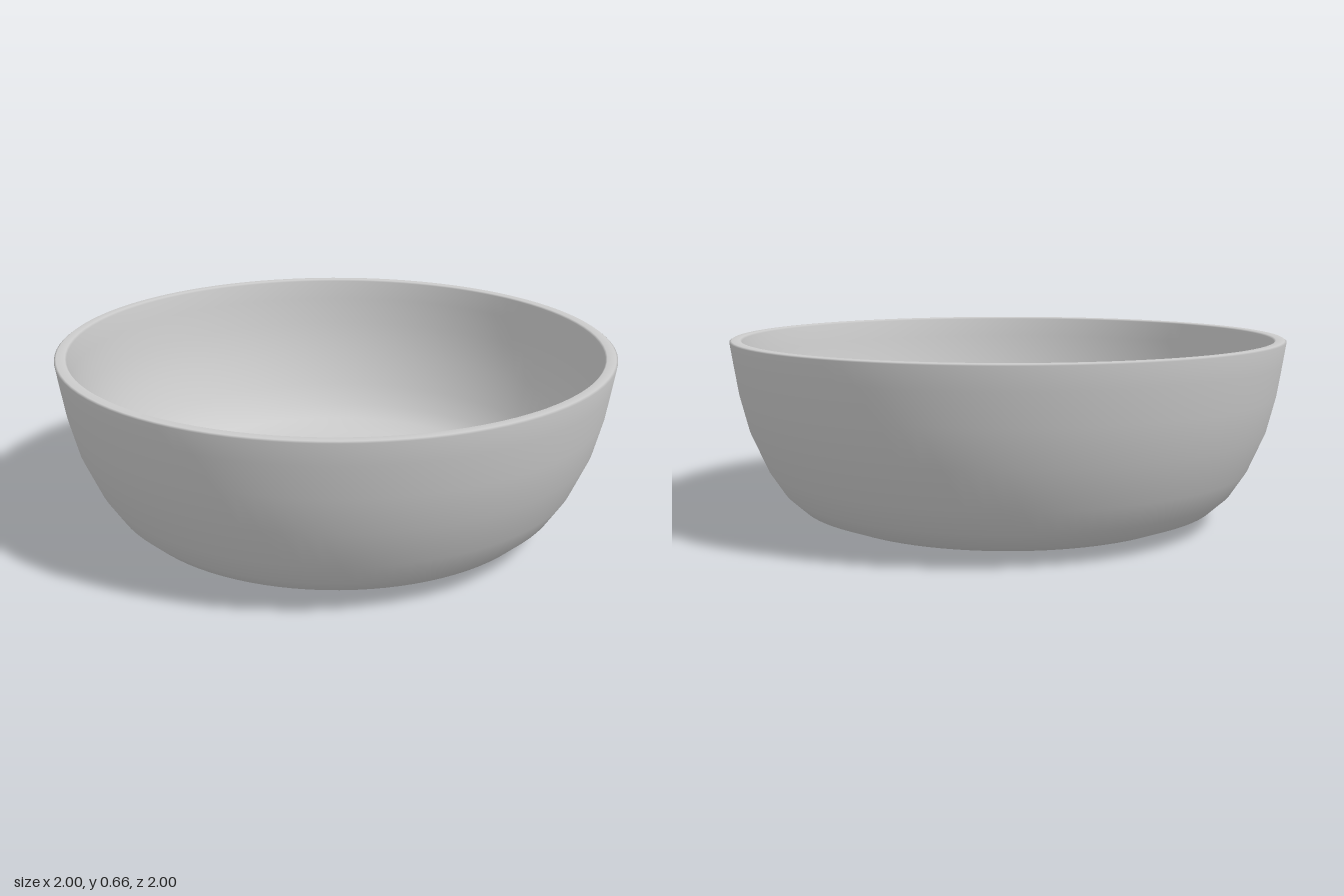
import * as THREE from 'three';

export function createModel() {
  const group = new THREE.Group();

  // Closed wall section: underside, outer wall, rim, inner wall, floor
  const outer = [
    [0, 0], [0.26, 0.001], [0.51, 0.005], [0.67, 0.023], [0.765, 0.06], [0.825, 0.115],
    [0.88, 0.2], [0.94, 0.34], [0.972, 0.47], [0.989, 0.58], [1, 0.656],
  ];
  const rim = [[0.993, 0.661], [0.963, 0.661]];
  const inner = [
    [0.957, 0.655], [0.947, 0.58], [0.931, 0.475], [0.9, 0.35], [0.843, 0.22], [0.793, 0.143],
    [0.742, 0.096], [0.66, 0.064], [0.505, 0.046], [0.26, 0.042], [0, 0.041],
  ];
  const profile = [...outer, ...rim, ...inner].map(([r, y]) => new THREE.Vector2(r, y));

  const bowl = new THREE.Mesh(
    new THREE.LatheGeometry(profile, 96),
    new THREE.MeshStandardMaterial({ color: 0xcccccc }),
  );
  bowl.name = 'bowl';
  group.add(bowl);
  return group;
}
